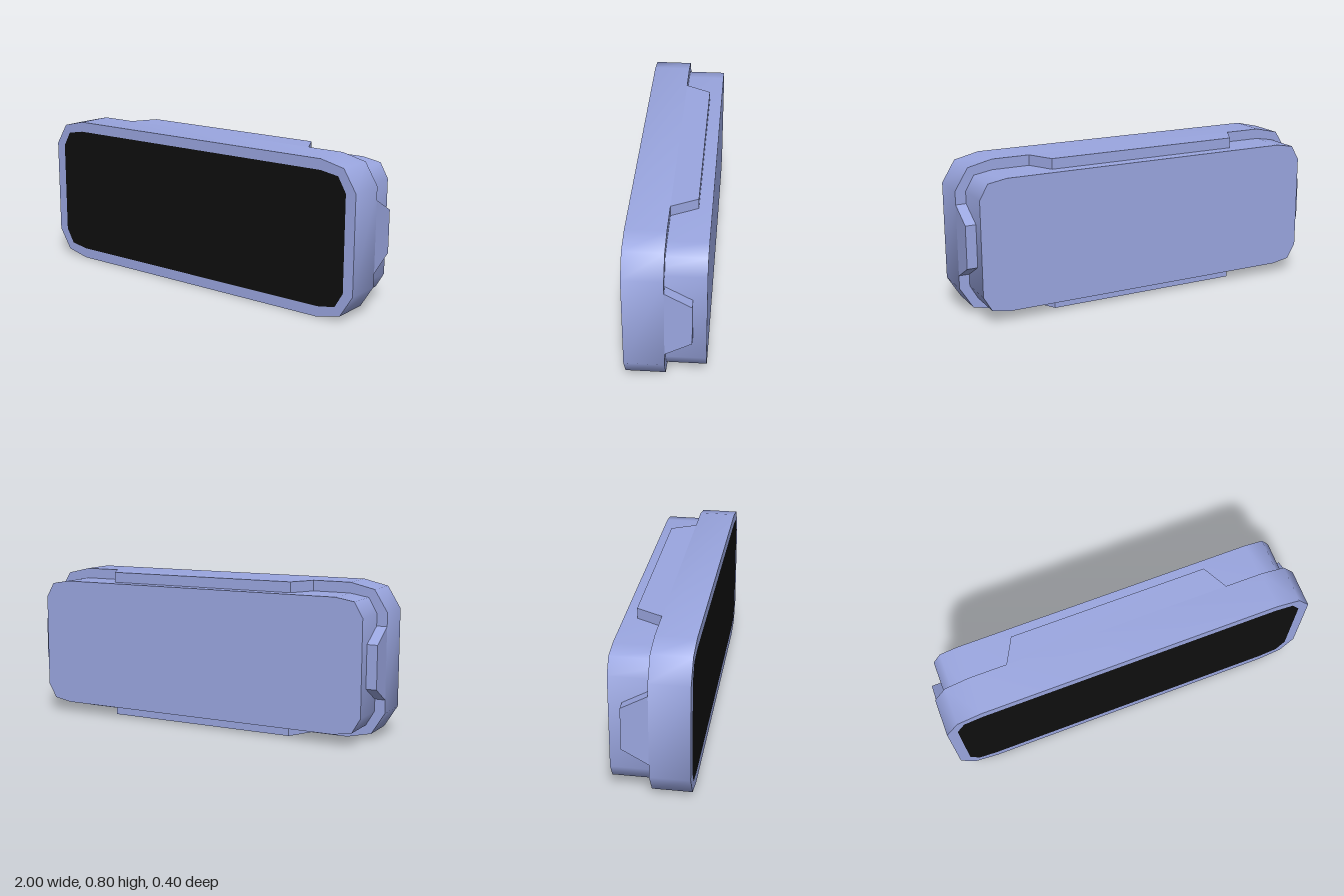
import * as THREE from 'three';
import { toCreasedNormals } from 'three/addons/utils/BufferGeometryUtils.js';

const CREASE = 0.9;
const MID_Y = 0.4;
const RIM = 0.055;

// Mirrors one corner's points (relative to the centre) into a full outline
function outline(corner) {
  const back = [...corner].reverse();
  return [
    ...back.map(([x, y]) => [x, y]),
    ...corner.map(([x, y]) => [-x, y]),
    ...back.map(([x, y]) => [-x, -y]),
    ...corner.map(([x, y]) => [x, -y]),
  ].map(([x, y]) => new THREE.Vector2(x, y));
}

function extrude(shape, depth) {
  const geo = new THREE.ExtrudeGeometry(shape, { depth, bevelEnabled: false });
  return toCreasedNormals(geo, CREASE);
}

export function createModel() {
  const model = new THREE.Group();
  model.name = 'handheldDevice';

  const shell = new THREE.MeshStandardMaterial({ color: 0x9aa6e0 });
  shell.name = 'periwinkle shell';
  const glass = new THREE.MeshStandardMaterial({ color: 0x0e0e0e });
  glass.name = 'black glass';

  const add = (name, geo, material) => {
    const mesh = new THREE.Mesh(geo, material);
    mesh.name = name;
    mesh.position.y = MID_Y;
    model.add(mesh);
    return mesh;
  };

  // Corner points run from the top edge round to the side
  const outer = outline([[0.8, 0.4], [0.93, 0.37], [1, 0.257]]);
  const inner = outline([[0.8, 0.345], [0.9, 0.328], [0.945, 0.25]]);

  // Front frame, open in the middle for the screen
  const frameShape = new THREE.Shape(outer);
  frameShape.holes.push(new THREE.Path(inner));
  add('frontFrame', extrude(frameShape, 0.2), shell);

  // Narrower body filling the frame and standing out behind it
  add('rearBody', extrude(new THREE.Shape(inner), 0.39).translate(0, 0, -0.2), shell);

  // Screen flush with the frame
  add('screen', new THREE.ShapeGeometry(new THREE.Shape(inner)).translate(0, 0, 0.2), glass);

  // Tapered tabs reaching back from the middle of each edge of the frame
  const tab = (name, base, end, reach, turn) => {
    const shape = new THREE.Shape([
      new THREE.Vector2(-base, 0),
      new THREE.Vector2(base, 0),
      new THREE.Vector2(end, 0.133),
      new THREE.Vector2(-end, 0.133),
    ]);
    const geo = extrude(shape, RIM).rotateX(-Math.PI / 2).translate(0, reach - RIM, 0);
    add(name, geo.rotateZ(turn), shell);
  };
  tab('topTab', 0.6, 0.53, 0.4, 0);
  tab('bottomTab', 0.6, 0.53, 0.4, Math.PI);
  tab('leftTab', 0.187, 0.112, 1, -Math.PI / 2);
  tab('rightTab', 0.187, 0.112, 1, Math.PI / 2);

  return model;
}
